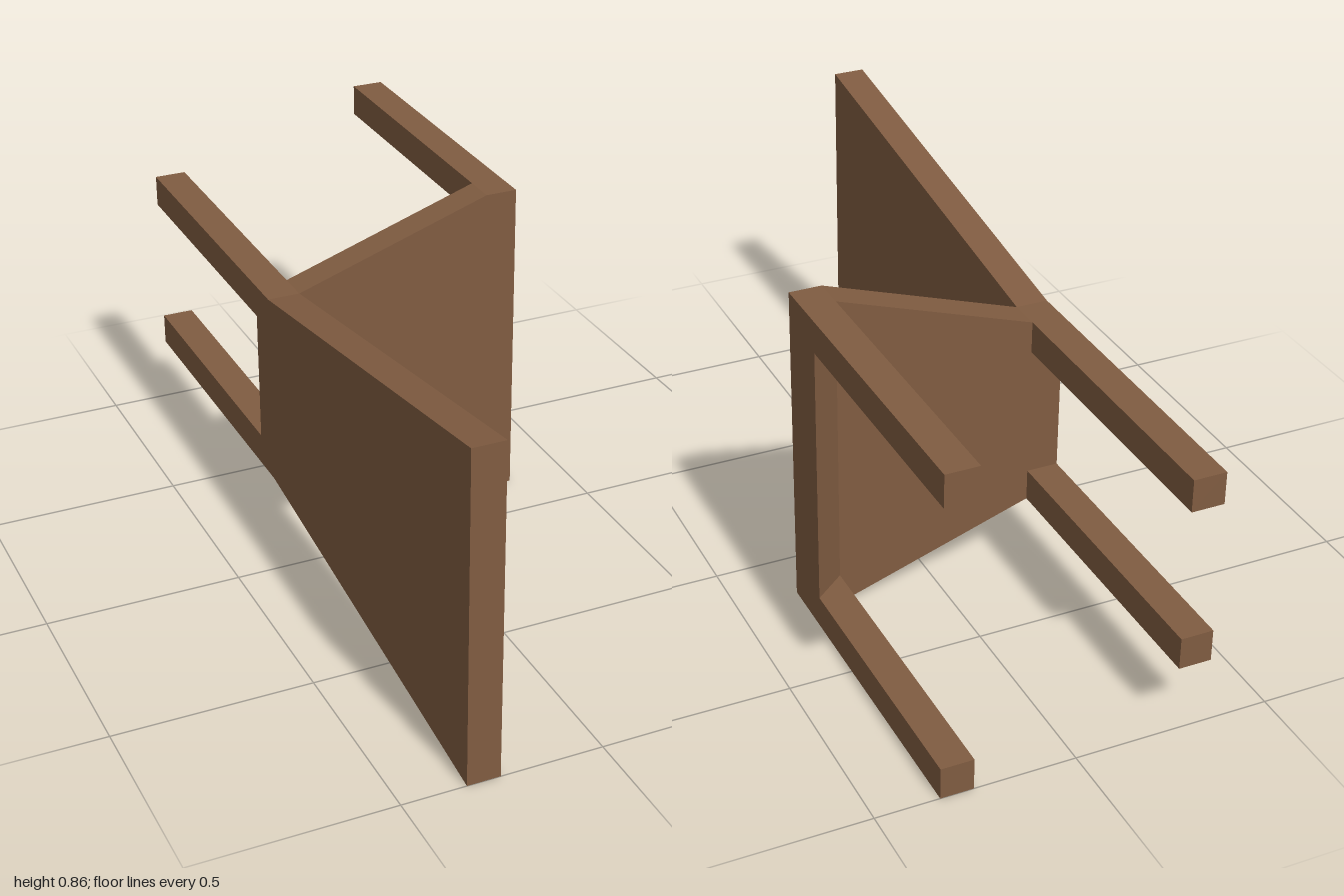
import * as THREE from 'three';

// Chair tipped onto its side: backrest along +z, legs along -z.
const X_OUT = 0.34, X_IN = 0.257, T = X_OUT - X_IN;   // outer and inner x of both sides
const H = 0.855;                                      // overall height
const LOW = 0.173, HIGH = 0.683;                      // narrow end of the tapered panels
const SEAT_FRONT = -0.147, SEAT_BACK = -0.232;
const LEG = 0.083;

export function createModel() {
  const model = new THREE.Group();
  const wood = new THREE.MeshStandardMaterial({ color: 0x805c41 });
  wood.name = 'brown wood';

  const add = (name, geometry) => {
    const mesh = new THREE.Mesh(geometry, wood);
    mesh.name = name;
    model.add(mesh);
    return mesh;
  };
  const extrude = (points, depth) => new THREE.ExtrudeGeometry(
    new THREE.Shape(points.map(([a, b]) => new THREE.Vector2(a, b))),
    { depth, bevelEnabled: false });

  // Flared backrest and the two rear legs, one profile in z and y
  add('backrestAndRearLegs', extrude([
    [1, 0], [1, H],
    [SEAT_FRONT, HIGH], [-1, HIGH], [-1, HIGH - LEG], [SEAT_BACK, HIGH - LEG],
    [SEAT_BACK, LOW + LEG], [-1, LOW + LEG], [-1, LOW], [SEAT_FRONT, LOW],
  ], T).rotateY(-Math.PI / 2).translate(-X_IN, 0, 0));

  // Seat panel, widening toward the front legs
  add('seat', extrude([
    [-X_IN, LOW], [X_IN, 0], [X_IN, H], [-X_IN, HIGH],
  ], SEAT_FRONT - SEAT_BACK).translate(0, 0, SEAT_BACK));

  // Front rail with a slanted underside, between the front legs
  add('frontRail', extrude([
    [X_IN, -SEAT_FRONT], [X_OUT, -SEAT_FRONT], [X_OUT, 0.3], [X_IN, -SEAT_BACK],
  ], H - 2 * LEG).rotateX(-Math.PI / 2).translate(0, LEG, 0));

  // Front legs
  const legLength = SEAT_FRONT + 1;
  for (const [name, y] of [['frontLegLower', LEG / 2], ['frontLegUpper', H - LEG / 2]]) {
    add(name, new THREE.BoxGeometry(T, LEG, legLength))
      .position.set((X_IN + X_OUT) / 2, y, -1 + legLength / 2);
  }

  return model;
}
